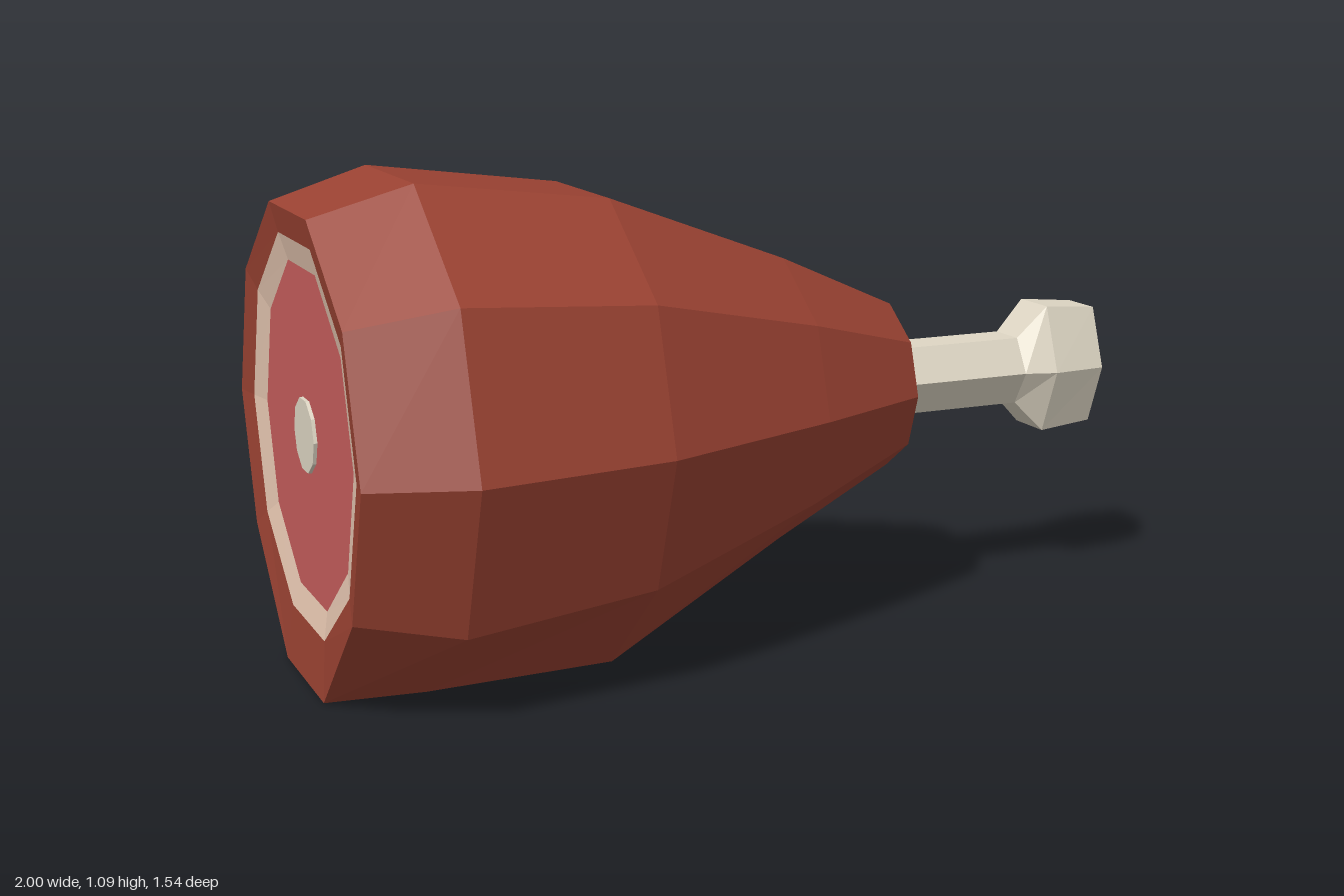
import * as THREE from 'three';

const material = (name, color) => {
  const m = new THREE.MeshStandardMaterial({ color, flatShading: true });
  m.name = name;
  return m;
};

// Faceted loft along +x through rings [x, radiusY, radiusZ, lowestY]
function loft(name, rings, sides, mat) {
  const pos = [];
  const point = ([x, ry, rz = ry], k) => {
    const a = (k % sides) / sides * Math.PI * 2;
    return [x, ry * Math.sin(a), rz * Math.cos(a)];
  };
  const corner = (ring, k) => {
    const p = point(ring, k);
    // the two lowest corners may be pushed down to rest on the ground
    if (ring[3] !== undefined && p[1] < -0.9 * ring[1]) p[1] = ring[3];
    return p;
  };
  for (let i = 0; i < rings.length - 1; i++) {
    const r = rings[i], s = rings[i + 1];
    for (let k = 0; k < sides; k++) {
      const a = corner(r, k), b = corner(r, k + 1);
      const c = corner(s, k), d = corner(s, k + 1);
      if (s[1] > 0) pos.push(...a, ...c, ...d);
      if (r[1] > 0) pos.push(...a, ...(s[1] > 0 ? d : c), ...b);
    }
  }
  const geo = new THREE.BufferGeometry();
  geo.setAttribute('position', new THREE.Float32BufferAttribute(pos, 3));
  geo.computeVertexNormals();
  const mesh = new THREE.Mesh(geo, mat);
  mesh.name = name;
  return mesh;
}

export function createModel() {
  const skin = material('roasted skin', 0x9a4232);
  const fat = material('fat', 0xe2c3ae);
  const meat = material('meat', 0xc65d5c);
  const bone = material('bone', 0xded6c4);

  const H = 0.545;          // height of the leg's axis
  const face = -0.809;      // cut end
  const lip = face + 0.012, bed = face + 0.026;

  const model = new THREE.Group();
  model.name = 'ham leg';
  const leg = new THREE.Group();
  leg.name = 'leg';
  leg.rotation.y = THREE.MathUtils.degToRad(31.3);
  // lateral offset of the axis, turned into model space
  leg.position.set(-0.094 * 0.5195, H, -0.094 * 0.8545);
  model.add(leg);

  // Skin: rim of the cut, swelling body, narrow flat end
  leg.add(loft('skin', [
    [lip, 0.438, 0.43],
    [face, 0.505, 0.503, -H],
    [-0.589, 0.573, 0.573, -H],
    [-0.154, 0.515, 0.515, -H],
    [0.287, 0.342],
    [0.587, 0.203],
    [0.587, 0],
  ], 10, skin));

  // Cut face: sunken fat ring, meat and bone core
  leg.add(loft('fatRing', [[bed, 0.378, 0.36], [lip, 0.438, 0.43]], 10, fat));
  leg.add(loft('meat', [[bed, 0], [bed, 0.378, 0.36]], 10, meat));
  leg.add(loft('boneCore', [[bed - 0.008, 0], [bed - 0.008, 0.082], [bed, 0.082]], 10, bone));

  // Bone handle with a flattened knob
  leg.add(loft('boneHandle', [
    [0.58, 0.092, 0.09],
    [0.95, 0.092, 0.09],
    [1.024, 0.177, 0.112],
    [1.161, 0.163, 0.1],
    [1.161, 0],
  ], 6, bone));

  return model;
}
